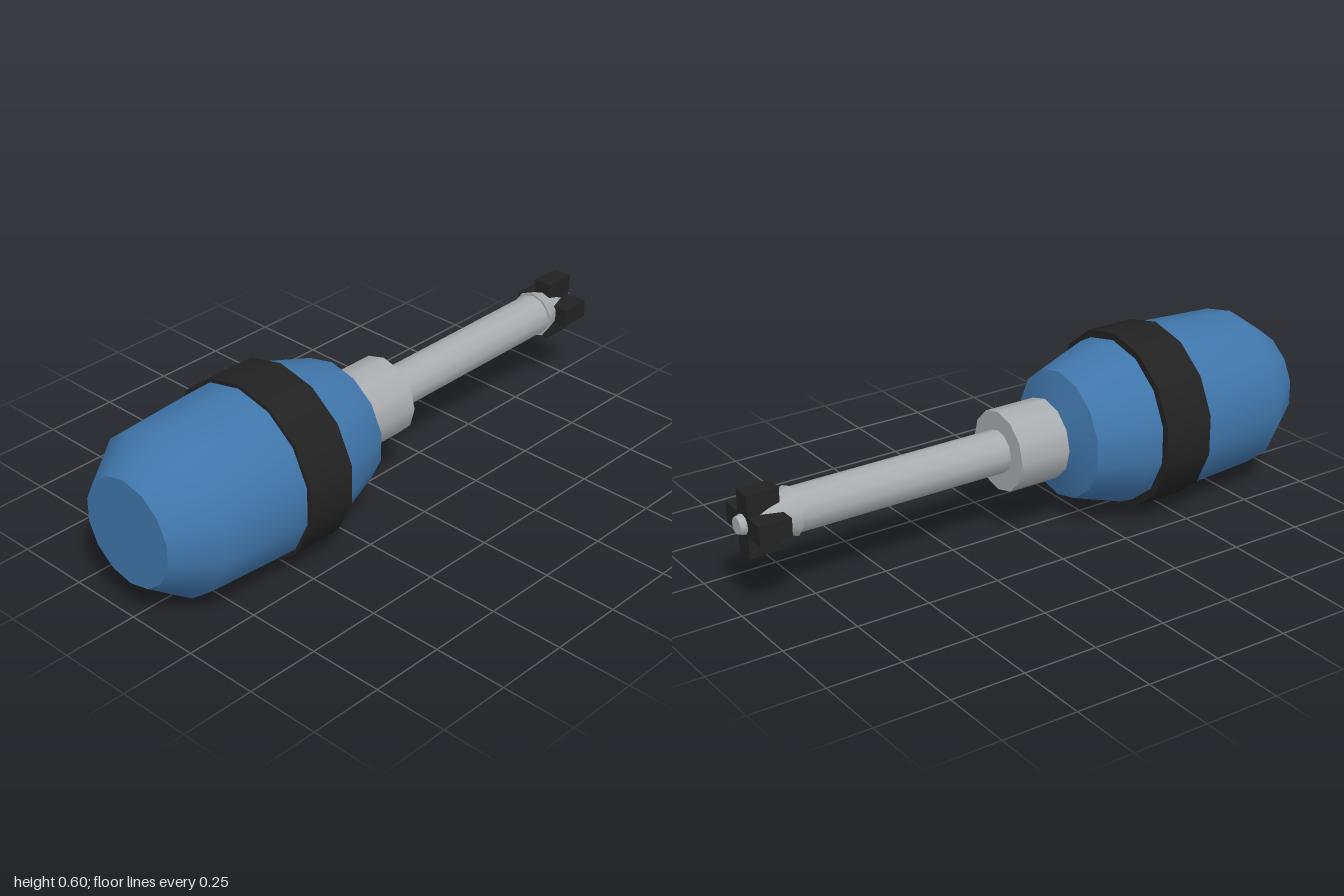
import * as THREE from 'three';

const AXIS_Y = 0.3;

export function createModel() {
  const group = new THREE.Group();
  group.name = 'screwdriver';

  const material = (name, color) => {
    const m = new THREE.MeshStandardMaterial({ color });
    m.name = name;
    return m;
  };
  const blue = material('handle blue', 0x4076ab);
  const steel = material('steel grey', 0xa9adb0);
  const black = material('rubber black', 0x222222);

  const add = (name, geometry, mat) => {
    const mesh = new THREE.Mesh(geometry, mat);
    mesh.name = name;
    mesh.position.y = AXIS_Y;
    group.add(mesh);
  };

  // Surface of revolution about the x axis; profile is [x, radius] from back to front
  const turned = (name, profile, sides, mat) => {
    const points = profile.map(([x, r]) => new THREE.Vector2(r, x));
    const geometry = new THREE.LatheGeometry(points, sides);
    geometry.rotateY(Math.PI / 2).rotateZ(-Math.PI / 2);
    add(name, geometry, mat);
  };

  // Capped, possibly tapered rod along x
  const rod = (name, x0, x1, r0, r1, sides, mat) => {
    const geometry = new THREE.CylinderGeometry(r1, r0, x1 - x0, sides);
    geometry.rotateY(Math.PI / 2).rotateZ(-Math.PI / 2).translate((x0 + x1) / 2, 0, 0);
    add(name, geometry, mat);
  };

  // Handle: flat butt, swelling grip and shallow front cone
  turned('handleButt', [[-1, 0], [-1, 0.178]], 14, blue);
  turned('handleGrip', [[-1, 0.178], [-0.87, 0.27], [-0.51, 0.289], [-0.33, 0.27], [-0.16, 0.215]], 14, blue);
  turned('handleNose', [[-0.16, 0.215], [-0.107, 0]], 14, blue);

  // Grip band
  rod('gripBand', -0.55, -0.375, 0.3, 0.3, 14, black);

  // Collar, shaft and tapered tip
  rod('collar', -0.107, 0.075, 0.134, 0.134, 12, steel);
  rod('shaft', 0.07, 0.825, 0.071, 0.071, 12, steel);
  rod('tip', 0.82, 1, 0.08, 0.027, 10, steel);

  // Cross-shaped driver head
  const a = 0.031, b = 0.103;
  const outline = [[a, a], [a, b], [-a, b], [-a, a], [-b, a], [-b, -a],
    [-a, -a], [-a, -b], [a, -b], [a, -a], [b, -a], [b, a]];
  const cross = new THREE.Shape(outline.map(([x, y]) => new THREE.Vector2(x, y)));
  const head = new THREE.ExtrudeGeometry(cross, { depth: 0.108, bevelEnabled: false });
  head.rotateY(Math.PI / 2).translate(0.871, 0, 0);
  add('crossHead', head, black);

  return group;
}
